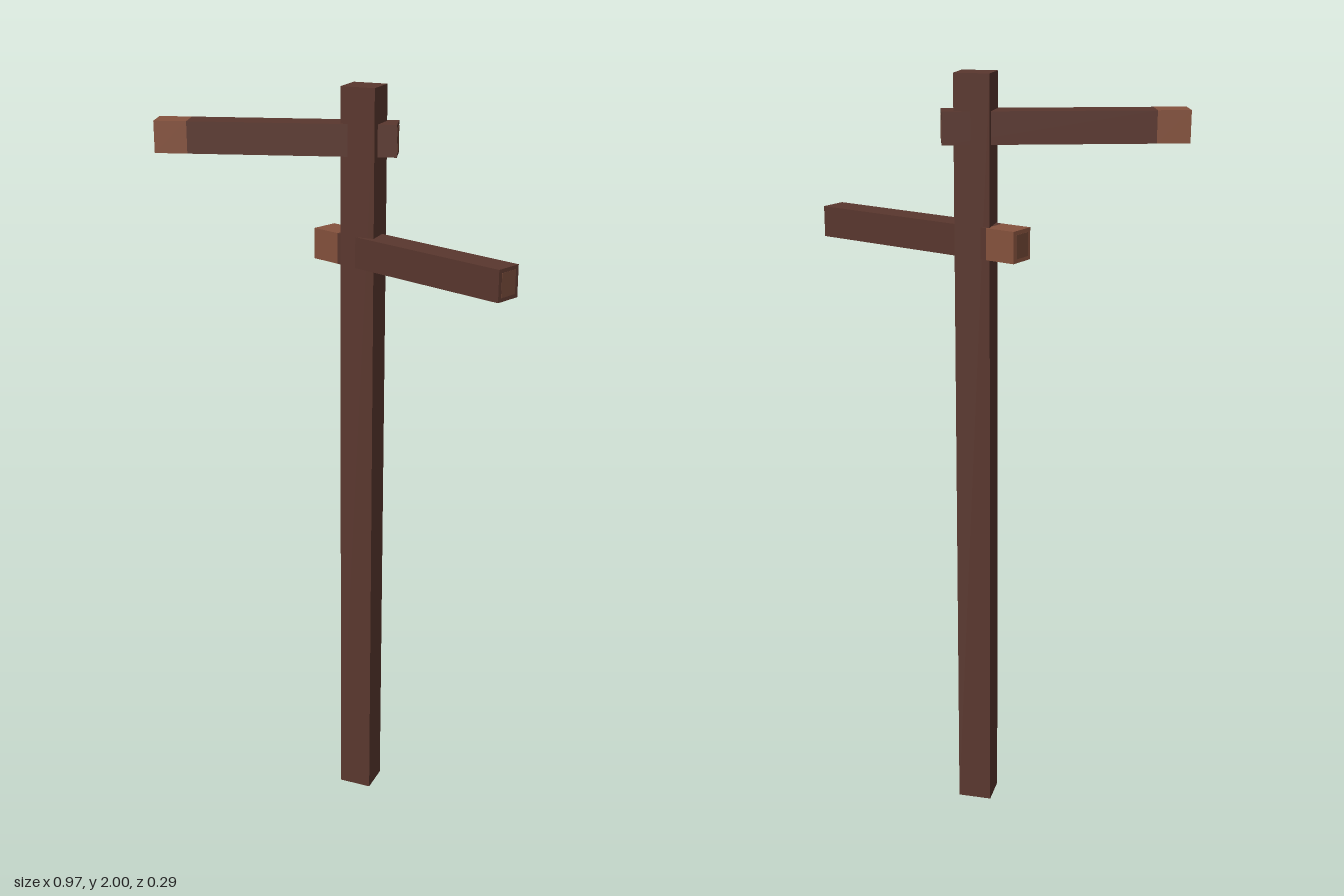
import * as THREE from 'three';

const darkWood = new THREE.MeshStandardMaterial({ name: 'darkWood', color: 0x5a372e });
const lightWood = new THREE.MeshStandardMaterial({ name: 'lightWood', color: 0x85523d });
const endGrain = new THREE.MeshStandardMaterial({ name: 'endGrain', color: 0x6e4434 });

function box(parent, name, size, position, material) {
  const mesh = new THREE.Mesh(new THREE.BoxGeometry(...size), material);
  mesh.name = name;
  mesh.position.set(...position);
  parent.add(mesh);
}

// A beam along local x with a pale tip at its -x end and end-grain plates
function arm(name, x, y, z, angle) {
  const length = 0.608, width = 0.073, height = 0.08, tip = 0.083;
  const group = new THREE.Group();
  group.name = name;
  group.position.set(x, y, z);
  group.rotation.y = angle;
  box(group, 'beam', [length - tip, height, width], [tip / 2, 0, 0], darkWood);
  box(group, 'paleTip', [tip, height, width], [(tip - length) / 2, 0, 0], lightWood);
  for (const side of [-1, 1]) {
    box(group, 'endGrainPlate', [0.002, height * 0.75, width * 0.7], [side * length / 2, 0, 0], endGrain);
  }
  return group;
}

export function createModel() {
  const model = new THREE.Group();
  model.name = 'signpost';
  // Upright post
  box(model, 'post', [0.09, 2, 0.085], [0.029, 1, -0.068], darkWood);
  // Two crossing arms swung forward
  model.add(arm('upperArm', -0.182, 1.87, -0.008, 0.2925));
  model.add(arm('lowerArm', 0.185, 1.59, -0.002, -0.3716));
  return model;
}
